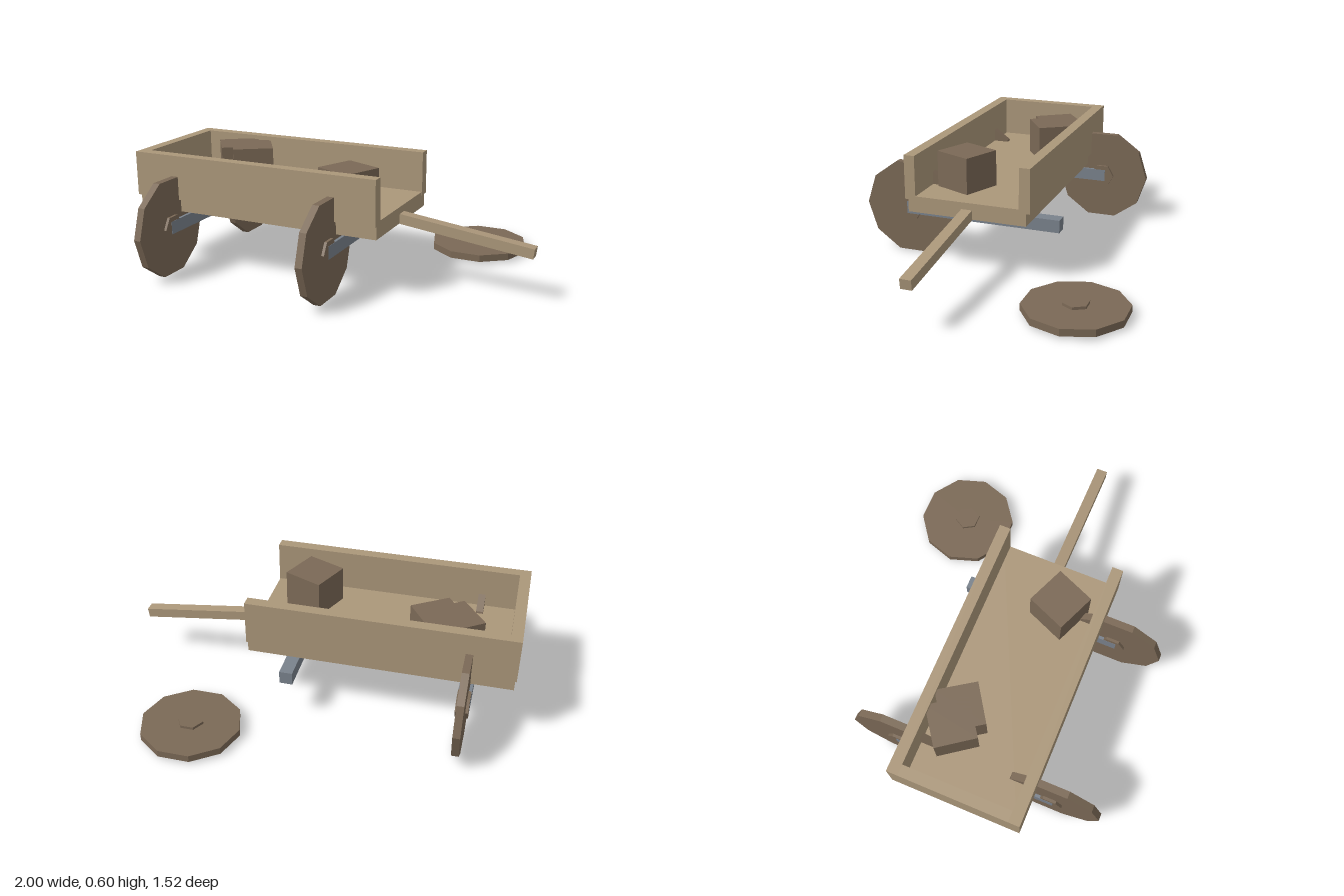
import * as THREE from 'three';

const wood = new THREE.MeshStandardMaterial({ color: 0xab977a, flatShading: true });
wood.name = 'light wood';
const darkWood = new THREE.MeshStandardMaterial({ color: 0x7b6956, flatShading: true });
darkWood.name = 'dark wood';
const iron = new THREE.MeshStandardMaterial({ color: 0x7a828c, flatShading: true });
iron.name = 'blue grey iron';

// Box given by its lower and upper limits on each axis
function box(name, material, [x0, x1], [y0, y1], [z0, z1]) {
  const mesh = new THREE.Mesh(new THREE.BoxGeometry(x1 - x0, y1 - y0, z1 - z0), material);
  mesh.position.set((x0 + x1) / 2, (y0 + y1) / 2, (z0 + z1) / 2);
  mesh.name = name;
  return mesh;
}

// Ten-sided disc with a six-sided hub, lying flat
function wheel(name) {
  const group = new THREE.Group();
  group.name = name;
  const disc = new THREE.Mesh(new THREE.CylinderGeometry(0.255, 0.255, 0.036, 10), darkWood);
  disc.name = 'wheelDisc';
  const hub = new THREE.Mesh(new THREE.CylinderGeometry(0.066, 0.066, 0.064, 6), darkWood);
  hub.name = 'wheelHub';
  group.add(disc, hub);
  return group;
}

export function createModel() {
  const model = new THREE.Group();
  model.name = 'brokenCart';

  // Cart bed, open at the +x end
  model.add(
    box('floor', wood, [-0.993, 0.33], [0.305, 0.388], [-0.2, 0.418]),
    box('frontWall', wood, [-1, 0.332], [0.37, 0.596], [0.378, 0.434]),
    box('backWall', wood, [-1, 0.332], [0.37, 0.596], [-0.22, -0.164]),
    box('endWall', wood, [-1, -0.945], [0.37, 0.596], [-0.164, 0.378]),
  );

  // Drawbar sloping down to its tip
  const drawbar = new THREE.Mesh(new THREE.BoxGeometry(0.8, 0.05, 0.056), wood);
  drawbar.name = 'drawbar';
  drawbar.position.set(0.599, 0.294, 0.105);
  drawbar.rotation.z = -0.124;
  model.add(drawbar);

  // Axles
  for (const x of [-0.768, 0.105]) {
    model.add(box('axle', iron, [x - 0.033, x + 0.033], [0.215, 0.281], [-0.307, 0.525]));
  }

  // Three wheels still on the axles, facing along x
  for (const [x, z] of [[-0.768, 0.505], [0.105, 0.505], [-0.768, -0.29]]) {
    const mounted = wheel('mountedWheel');
    mounted.rotation.z = Math.PI / 2;
    mounted.position.set(x, 0.247, z);
    model.add(mounted);
  }

  // Fourth wheel lying on the ground
  const fallen = wheel('fallenWheel');
  fallen.rotation.y = Math.PI / 2;
  fallen.position.set(0.54, 0.032, -0.516);
  model.add(fallen);

  // Crates, each turned a different way
  for (const [x, z, turn] of [[0.087, 0.203, -0.4], [-0.674, -0.043, 0.62], [-0.594, -0.032, 0.588 + Math.PI / 2 - 1.571]]) {
    const crate = new THREE.Mesh(new THREE.BoxGeometry(0.209, 0.2, 0.209), darkWood);
    crate.name = 'crate';
    crate.position.set(x, 0.475, z);
    crate.rotation.y = turn;
    model.add(crate);
  }

  return model;
}
